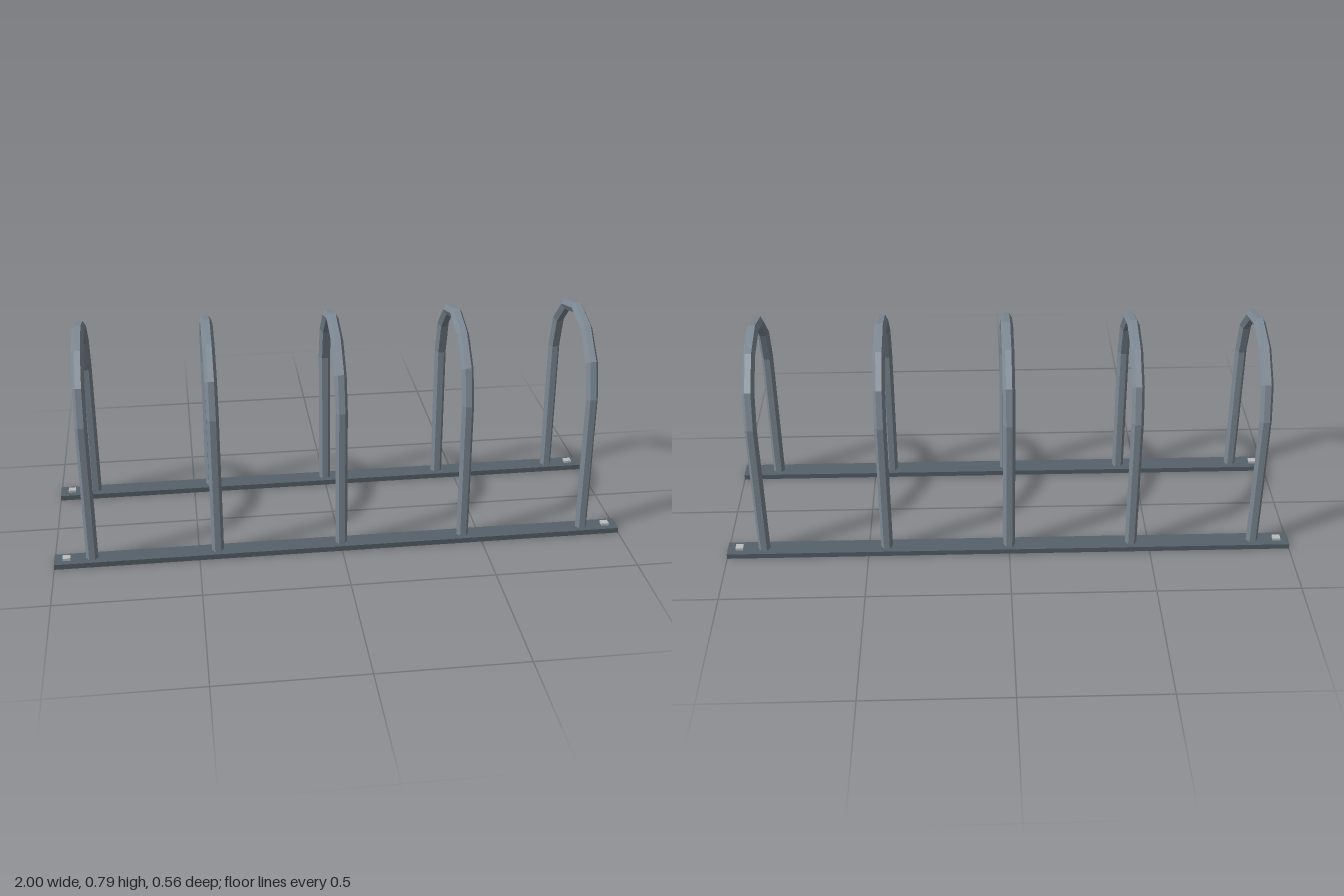
import * as THREE from 'three';

const RAIL_TOP = 0.0187, LEG_Z = 0.2437, ARCH_Y = 0.523, TUBE_R = 0.021;

// Mitred hexagonal tube: up the front leg, over the arch, down the back leg
function hoopGeometry() {
  const deg = Math.PI / 180;
  // each station: centre (y, z), direction of the outward normal from straight up, mitre half-angle
  const stations = [{ y: RAIL_TOP, z: LEG_Z, tilt: 90, half: 0 }];
  for (let a = 90; a >= -90; a -= 30) {
    const end = Math.abs(a) === 90;
    stations.push({
      y: ARCH_Y + LEG_Z * Math.cos(a * deg),
      z: LEG_Z * Math.sin(a * deg),
      tilt: end ? Math.sign(a) * 82.5 : a,
      half: end ? 7.5 : 15,
    });
  }
  stations.push({ y: RAIL_TOP, z: -LEG_Z, tilt: -90, half: 0 });

  const positions = [], index = [];
  stations.forEach((s, i) => {
    for (let k = 0; k < 6; k++) {
      const t = (30 + 60 * k) * deg;
      const out = TUBE_R * Math.cos(t) / Math.cos(s.half * deg);
      positions.push(
        TUBE_R * Math.sin(t),
        s.y + out * Math.cos(s.tilt * deg),
        s.z + out * Math.sin(s.tilt * deg));
      if (i < stations.length - 1) {
        const a = i * 6 + k, b = i * 6 + (k + 1) % 6;
        index.push(a, b, b + 6, a, b + 6, a + 6);
      }
    }
  });
  const g = new THREE.BufferGeometry();
  g.setAttribute('position', new THREE.Float32BufferAttribute(positions, 3));
  g.setIndex(index);
  const flat = g.toNonIndexed();
  flat.computeVertexNormals();
  return flat;
}

export function createModel() {
  const material = (name, color) => {
    const m = new THREE.MeshStandardMaterial({ color, flatShading: true });
    m.name = name;
    return m;
  };
  const tubeSteel = material('tube steel', 0x7d8994);
  const railSteel = material('rail steel', 0x55616b);
  const boltSteel = material('bolt steel', 0xb9bdbf);

  const model = new THREE.Group();
  model.name = 'bikeRack';
  const add = (name, geometry, mat, x, y, z) => {
    const mesh = new THREE.Mesh(geometry, mat);
    mesh.name = name;
    mesh.position.set(x, y, z);
    model.add(mesh);
  };

  // Floor rails with a bolt head near each end
  const rail = new THREE.BoxGeometry(2, RAIL_TOP, 0.0695);
  const bolt = new THREE.BoxGeometry(0.027, 0.009, 0.025);
  for (const side of [1, -1]) {
    add(side > 0 ? 'frontRail' : 'backRail', rail, railSteel, 0, RAIL_TOP / 2, side * LEG_Z);
    for (const end of [1, -1]) {
      add('bolt', bolt, boltSteel, end * 0.958, RAIL_TOP + 0.0045, side * LEG_Z);
    }
  }

  // Five evenly spaced hoops
  const hoop = hoopGeometry();
  for (let i = -2; i <= 2; i++) add('hoop', hoop, tubeSteel, i * 0.435, 0, 0);

  return model;
}
